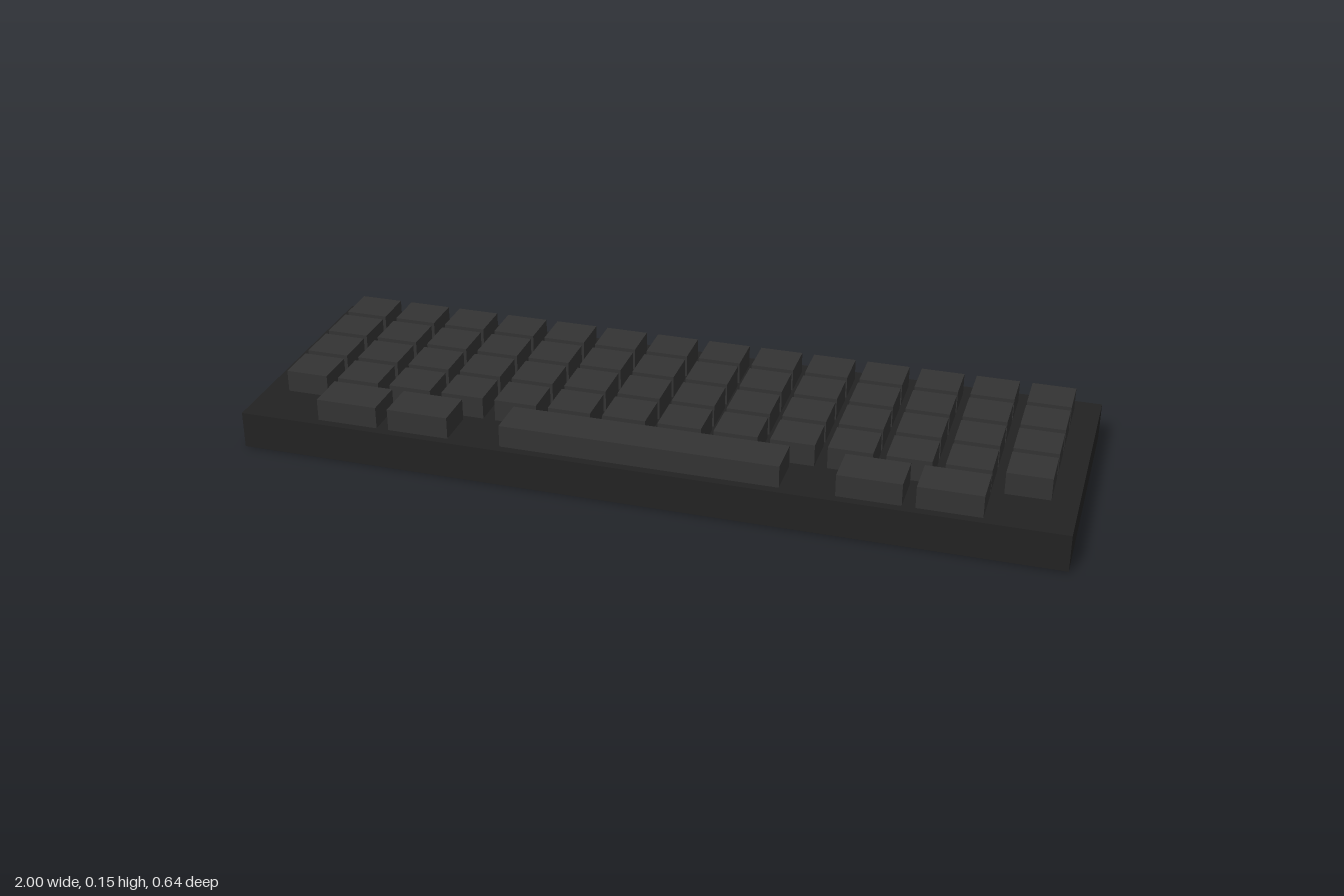
import * as THREE from 'three';

const BASE_H = 0.092, KEY_H = 0.055, KEY_D = 0.101;
const rowZ = (row) => -0.227 + row * 0.1185;

export function createModel() {
  const model = new THREE.Group();
  model.name = 'keyboard';
  const caseMaterial = new THREE.MeshStandardMaterial({ color: 0x222222 });
  const keyMaterial = new THREE.MeshStandardMaterial({ color: 0x333333 });

  // Flat case
  const base = new THREE.Mesh(new THREE.BoxGeometry(2, BASE_H, 0.637), caseMaterial);
  base.name = 'case';
  base.position.y = BASE_H / 2;
  model.add(base);

  const keys = new THREE.Group();
  keys.name = 'keys';
  model.add(keys);

  function addKey(name, x, row, width) {
    const key = new THREE.Mesh(new THREE.BoxGeometry(width, KEY_H, KEY_D), keyMaterial);
    key.name = name;
    key.position.set(x, BASE_H + KEY_H / 2, rowZ(row));
    keys.add(key);
  }

  // Four rows of fourteen square keys
  for (let row = 0; row < 4; row++) {
    for (let col = 0; col < 14; col++) {
      addKey(`key_${row + 1}_${col + 1}`, -0.889 + col * 0.1364, row, 0.106);
    }
  }

  // Bottom row: wide keys either side of the space bar
  for (const x of [-0.73, -0.548, 0.543, 0.726]) addKey('modifierKey', x, 4, 0.152);
  addKey('spaceBar', -0.002, 4, 0.677);

  return model;
}
